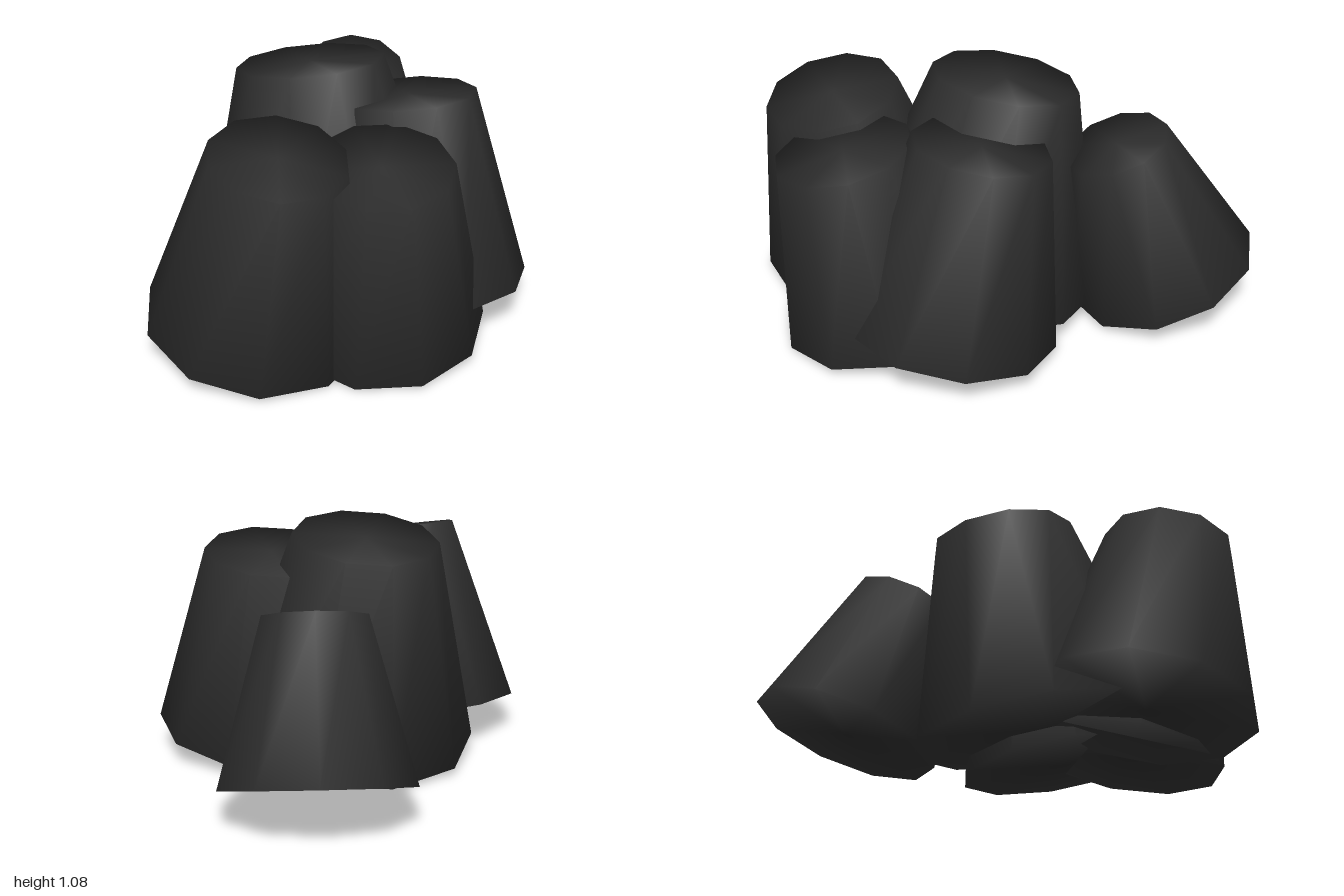
import * as THREE from 'three';
import { mergeVertices } from 'three/addons/utils/BufferGeometryUtils.js';

const charcoal = new THREE.MeshStandardMaterial({ color: 0x2e2e2e });
charcoal.name = 'charcoal';

// Ten-sided tapered stump between two centres, with smooth normals over the rims
function stump(name, base, top, baseRadius, topRadius, turn) {
  const a = new THREE.Vector3(...base), b = new THREE.Vector3(...top);
  const axis = b.clone().sub(a);
  let geo = new THREE.CylinderGeometry(topRadius, baseRadius, axis.length(), 10);
  geo.rotateY(turn);
  geo.deleteAttribute('normal');
  geo.deleteAttribute('uv');
  geo = mergeVertices(geo, 1e-4);
  geo.computeVertexNormals();
  const mesh = new THREE.Mesh(geo, charcoal);
  mesh.name = name;
  mesh.quaternion.setFromUnitVectors(new THREE.Vector3(0, 1, 0), axis.normalize());
  mesh.position.copy(a).add(b).multiplyScalar(0.5);
  return mesh;
}

export function createModel() {
  const group = new THREE.Group();
  group.name = 'rockCluster';
  const half = Math.PI / 10;
  group.add(
    stump('middleRock', [0.05, 0.13, 0.12], [0.03, 1.02, -0.06], 0.56, 0.315, 0),
    stump('rightRock', [-0.39, 0.11, 0.41], [-0.35, 0.925, 0.575], 0.475, 0.285, half),
    stump('leftRock', [0.37, 0.12, 0.38], [0.36, 0.93, 0.22], 0.46, 0.29, 0),
    stump('frontRock', [0.1, 0.09, 0.56], [0.04, 0.87, 0.69], 0.44, 0.29, 0),
    stump('backRock', [0.45, 0.145, -0.62], [0.38, 0.79, -0.4], 0.415, 0.225, half),
  );
  return group;
}
